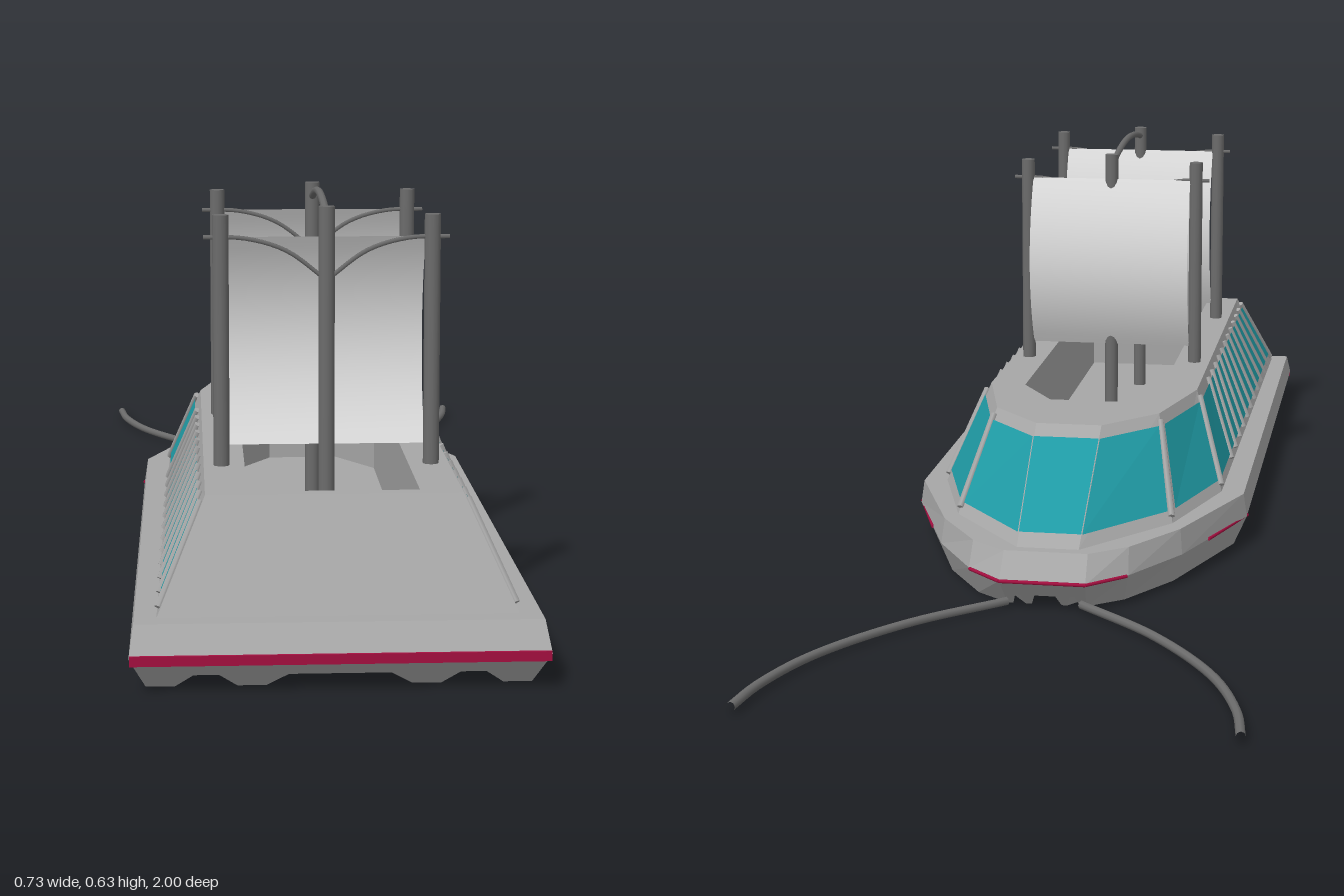
import * as THREE from 'three';

const V = (x, y, z) => new THREE.Vector3(x, y, z);
const mat = (name, color, side = THREE.FrontSide) => {
  const m = new THREE.MeshStandardMaterial({ color, side });
  m.name = name;
  return m;
};

// Flat-faced geometry from polygons given counterclockwise from outside
function faces(polys) {
  const pts = [];
  for (const p of polys)
    for (let i = 1; i < p.length - 1; i++) pts.push(p[0], p[i], p[i + 1]);
  const g = new THREE.BufferGeometry().setFromPoints(pts);
  g.computeVertexNormals();
  return g;
}

function rodGeometry(a, b, r, sides = 8) {
  const d = b.clone().sub(a);
  const g = new THREE.CylinderGeometry(r, r, d.length(), sides);
  g.applyQuaternion(new THREE.Quaternion().setFromUnitVectors(V(0, 1, 0), d.normalize()));
  const c = a.clone().add(b).multiplyScalar(0.5);
  return g.translate(c.x, c.y, c.z);
}

// Right half outline [x, z] from bow to stern, closed by mirroring
const mirrored = half => [...half, ...half.slice().reverse().map(([x, z]) => [-x, z])];

export function createModel() {
  const model = new THREE.Group();
  const grey = mat('hull grey', 0xa6a6a6, THREE.DoubleSide);
  const teal = mat('teal glass', 0x1f9aa4, THREE.DoubleSide);
  const dark = mat('dark metal', 0x6c6c6c);
  const cloth = mat('sail cloth', 0xdcdcdc, THREE.DoubleSide);
  const red = mat('crimson trim', 0xa50f40);
  const add = (name, geo, material, parent = model) => {
    const m = new THREE.Mesh(geo, material);
    m.name = name;
    parent.add(m);
    return m;
  };

  // Hull: cross-section with keel strakes, lofted from stern to bow
  const keel = [[0.07, 0.02], [0.1, 0], [0.14, 0], [0.165, 0.02], [0.2, 0.02], [0.225, 0], [0.265, 0], [0.287, 0.05]];
  const section = [...keel.slice().reverse().map(([x, y]) => [-x, y]), ...keel, [0.281, 0.09], [-0.281, 0.09]];
  const stations = [ // z, width scale, end slope
    [1, 1, -0.035], [0.9, 1, 0], [-0.11, 1, 0], [-0.34, 0.7, 0.012], [-0.46, 0.45, 0.025], [-0.52, 0.24, 0.04]];
  const rings = stations.map(([z, s, e]) =>
    section.map(([x, y]) => V(x * s, y, z + e * Math.abs(y - 0.05) / 0.045)));
  const n = section.length, hull = [];
  for (let i = 0; i < rings.length - 1; i++)
    for (let j = 0; j < n; j++) {
      const k = (j + 1) % n, S = rings[i], B = rings[i + 1];
      hull.push([S[j], B[j], B[k], S[k]]);
    }
  const low = section.slice(0, n - 2).map(([x, y]) => new THREE.Vector2(x, y));
  const tris = THREE.ShapeUtils.triangulateShape(low, []);
  const [stern, bow] = [rings[0], rings[rings.length - 1]];
  for (const [a, b, c] of tris) {
    hull.push([stern[a], stern[b], stern[c]], [bow[c], bow[b], bow[a]]);
  }
  hull.push([stern[0], stern[n - 3], stern[n - 2], stern[n - 1]]);
  hull.push([bow[n - 1], bow[n - 2], bow[n - 3], bow[0]]);
  add('hull', faces(hull), grey);

  // Cabin walls
  const baseY = 0.09, roofY = 0.24;
  const base = mirrored([[0.05, -0.465], [0.18, -0.3], [0.242, -0.1], [0.25, 0.94]]);
  const roof = mirrored([[0.055, -0.255], [0.14, -0.16], [0.185, 0.02], [0.182, 0.845]]);
  const well = mirrored([[0.06, -0.09], [0.122, 0.01], [0.122, 0.825]]);
  const lift = (ring, y) => ring.map(([x, z]) => V(x, y, z));
  const b3 = lift(base, baseY), t3 = lift(roof, roofY);
  const next = (a, i) => a[(i + 1) % a.length];
  add('cabinWalls', faces(b3.map((b, i) => [next(b3, i), b, t3[i], next(t3, i)])), grey);

  // Roof with an open well
  const outline = ring => ring.map(([x, z]) => new THREE.Vector2(x, -z));
  const roofShape = new THREE.Shape(outline(roof));
  roofShape.holes.push(new THREE.Path(outline(well)));
  add('roof', new THREE.ShapeGeometry(roofShape).rotateX(-Math.PI / 2).translate(0, roofY, 0), grey);
  const w0 = lift(well, 0.095), w1 = lift(well, roofY);
  add('wellWalls', faces(w0.map((p, i) => [p, next(w0, i), next(w1, i), w1[i]])), grey);
  add('wellFloor', new THREE.ShapeGeometry(new THREE.Shape(outline(well)))
    .rotateX(-Math.PI / 2).translate(0, 0.095, 0), grey);

  // Windows: plates just proud of each wall, with bars between them
  const wallPoint = (i, u, v, out = 0) => {
    const b = b3[i].clone().lerp(next(b3, i), u), t = t3[i].clone().lerp(next(t3, i), u);
    const along = next(b3, i).clone().sub(b3[i]);
    const normal = t.clone().sub(b).cross(along).normalize();
    if (normal.y < 0) normal.negate();
    return b.lerp(t, v).addScaledVector(normal, out);
  };
  const panes = [], bars = [];
  const pane = (i, u0, u1) => panes.push([
    wallPoint(i, u1, 0.11, 0.003), wallPoint(i, u0, 0.11, 0.003),
    wallPoint(i, u0, 0.88, 0.003), wallPoint(i, u1, 0.88, 0.003)]);
  const bar = (i, u) => bars.push([wallPoint(i, u, 0.06, 0.002), wallPoint(i, u, 0.93, 0.002)]);
  pane(7, 0, 1);
  const splits = [0, 0.17];
  for (let k = 1; k <= 11; k++) splits.push(0.17 + k * 0.815 / 11);
  for (const side of [1, -1]) {
    const put = (i, u0, u1) => side > 0 ? pane(i, u0, u1) : pane(6 - i, 1 - u1, 1 - u0);
    const putBar = (i, u) => side > 0 ? bar(i, u) : bar(6 - i, 1 - u);
    put(0, 0, 0.95);
    put(1, 0.06, 0.95);
    putBar(0, 0.99);
    for (let k = 0; k < splits.length; k++) {
      putBar(2, splits[k]);
      if (k) put(2, splits[k - 1] + 0.008, splits[k] - 0.008);
    }
  }
  add('windows', faces(panes), teal);
  const barGroup = new THREE.Group();
  barGroup.name = 'windowBars';
  model.add(barGroup);
  for (const [a, b] of bars) add('windowBar', rodGeometry(a, b, 0.006, 6), grey, barGroup);

  // Crimson trim along the widest line of the hull
  add('sternStripe', new THREE.BoxGeometry(0.572, 0.014, 0.007).translate(0, 0.047, 0.9975), red);
  for (const s of [1, -1]) {
    add('sideStripe', rodGeometry(V(s * 0.287, 0.05, -0.1), V(s * 0.235, 0.05, -0.25), 0.003, 6), red);
    add('bowSideStripe', rodGeometry(V(s * 0.127, 0.05, -0.465), V(s * 0.069, 0.05, -0.52), 0.003, 6), red);
  }
  add('bowStripe', rodGeometry(V(-0.069, 0.05, -0.52), V(0.069, 0.05, -0.52), 0.003, 6), red);

  // Rigs: three masts, yard, drooping stays and a billowing sail
  for (const z of [0.24, 0.645]) {
    const rig = new THREE.Group();
    rig.name = 'rig';
    rig.position.z = z;
    model.add(rig);
    add('centreMast', rodGeometry(V(0, 0.01, 0), V(0, 0.625, 0), 0.012, 12), dark, rig);
    for (const s of [1, -1]) {
      add('sideMast', rodGeometry(V(s * 0.156, 0.235, 0), V(s * 0.156, 0.613, 0), 0.012, 12), dark, rig);
      const stay = new THREE.CatmullRomCurve3([
        V(s * 0.181, 0.58, 0), V(s * 0.12, 0.578, 0), V(s * 0.06, 0.56, 0), V(0, 0.516, 0)]);
      add('stay', new THREE.TubeGeometry(stay, 16, 0.0035, 6), dark, rig);
    }
    const sail = new THREE.PlaneGeometry(0.292, 0.31, 1, 16);
    const p = sail.attributes.position;
    for (let i = 0; i < p.count; i++) {
      const h = p.getY(i) / 0.155;
      p.setZ(i, -0.045 * (1 - h * h));
    }
    sail.computeVertexNormals();
    add('sail', sail.translate(0, 0.425, -0.003), cloth, rig);
  }
  const arch = new THREE.QuadraticBezierCurve3(V(0, 0.607, 0.65), V(0, 0.651, 0.44), V(0, 0.6, 0.235));
  add('mastLink', new THREE.TubeGeometry(arch, 20, 0.006, 8), dark);

  // Curved feelers sweeping forward from the bow
  for (const s of [1, -1]) {
    const curve = new THREE.CatmullRomCurve3(
      [[0.06, -0.5], [0.19, -0.625], [0.295, -0.78], [0.342, -0.91], [0.356, -1]].map(([x, z]) => V(s * x, 0.011, z)));
    add('feeler', new THREE.TubeGeometry(curve, 28, 0.007, 8), dark);
  }
  return model;
}
